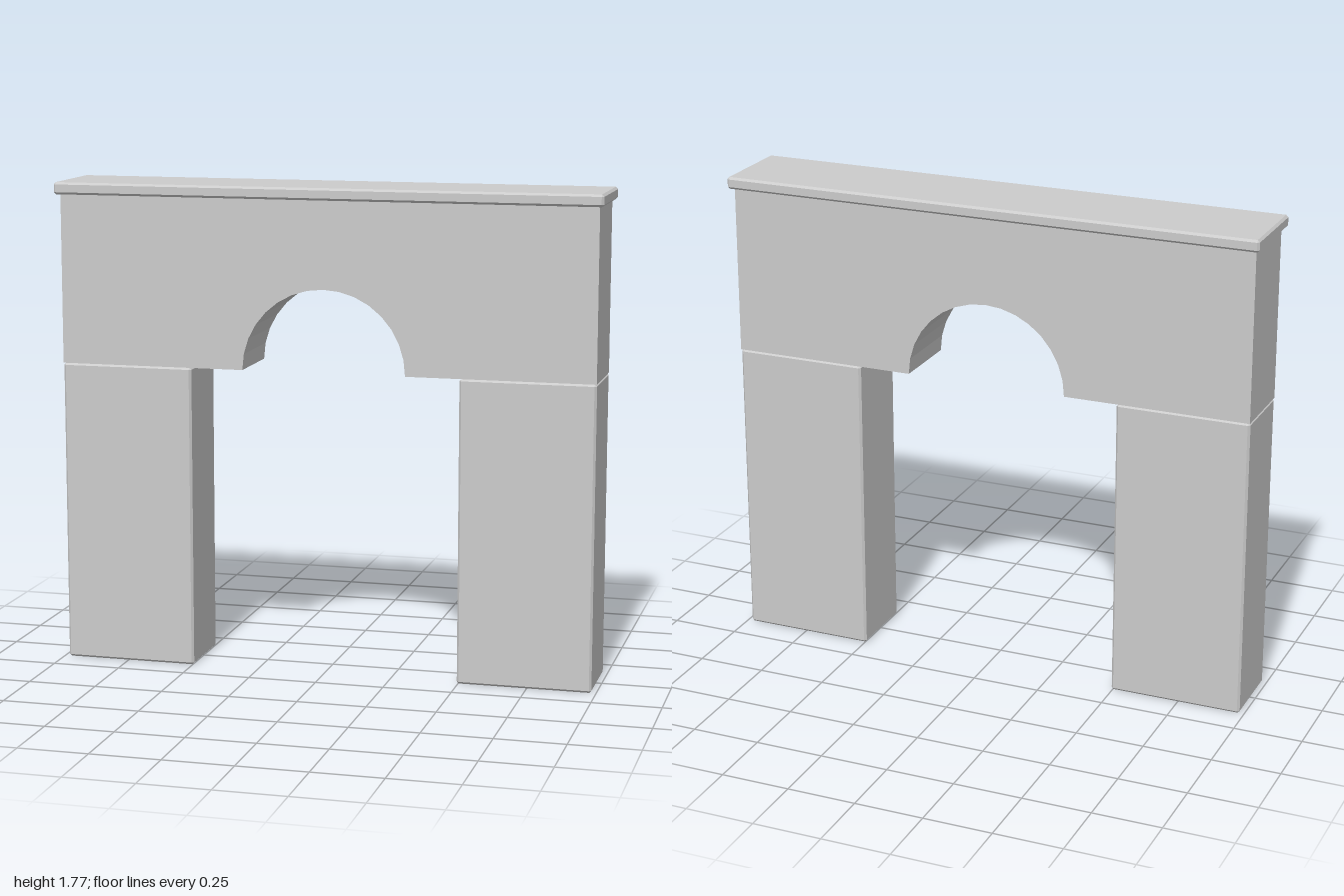
import * as THREE from 'three';
import { ConvexGeometry } from 'three/addons/geometries/ConvexGeometry.js';

const material = new THREE.MeshStandardMaterial({ color: 0xcccccc, flatShading: true });

// Box with every edge chamfered by c, centred on the origin
function chamferedBox(w, h, d, c) {
  const half = [w / 2, h / 2, d / 2];
  const points = [];
  for (const sx of [-1, 1]) for (const sy of [-1, 1]) for (const sz of [-1, 1]) {
    for (let full = 0; full < 3; full++) {
      const [x, y, z] = half.map((v, axis) => (axis === full ? v : v - c));
      points.push(new THREE.Vector3(sx * x, sy * y, sz * z));
    }
  }
  return new ConvexGeometry(points);
}

export function createModel() {
  const group = new THREE.Group();
  const add = (name, geometry, x, y, z) => {
    const mesh = new THREE.Mesh(geometry, material);
    mesh.name = name;
    mesh.position.set(x, y, z);
    group.add(mesh);
  };

  const springY = 1.11, topY = 1.73, halfWidth = 0.983, depth = 0.28;
  const archRadius = 0.3, archSegments = 16;

  // Two pillars
  const pillar = chamferedBox(0.488, springY, depth, 0.008);
  add('leftPillar', pillar, 0.739, springY / 2, 0);
  add('rightPillar', pillar, -0.739, springY / 2, 0);

  // Wall above the pillars, with a half-round opening cut from its lower edge
  const wall = new THREE.Shape();
  wall.moveTo(-halfWidth, springY);
  for (let i = 0; i <= archSegments; i++) {
    const a = Math.PI * (1 - i / archSegments);
    wall.lineTo(archRadius * Math.cos(a), springY + archRadius * Math.sin(a));
  }
  wall.lineTo(halfWidth, springY);
  wall.lineTo(halfWidth, topY);
  wall.lineTo(-halfWidth, topY);
  wall.closePath();
  add('archWall', new THREE.ExtrudeGeometry(wall, { depth, bevelEnabled: false }), 0, 0, -depth / 2);

  // Overhanging coping slab
  add('copingSlab', chamferedBox(2, 0.044, 0.336, 0.008), 0, 1.75, 0);

  return group;
}
